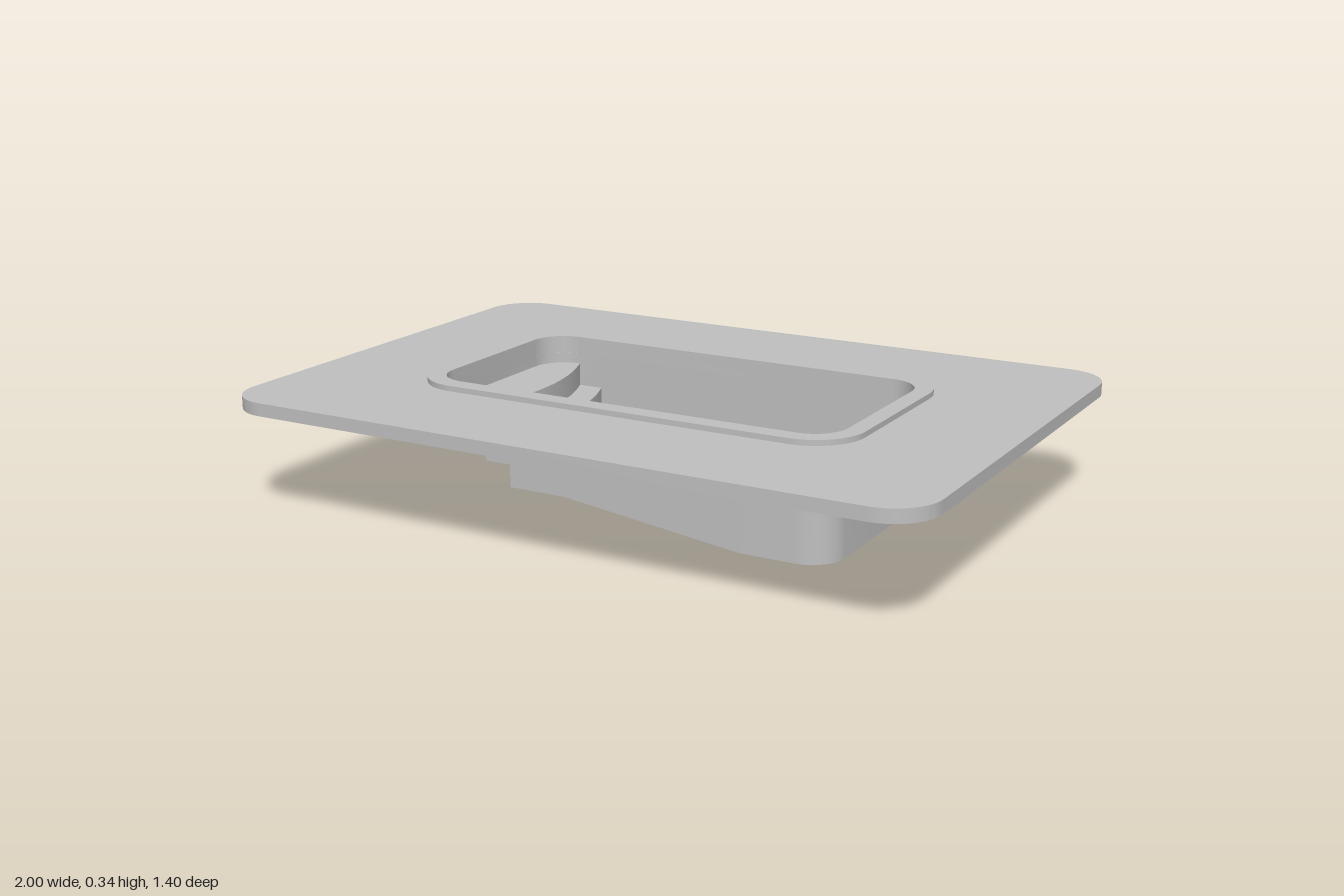
import * as THREE from 'three';
import { toCreasedNormals } from 'three/addons/utils/BufferGeometryUtils.js';

const HALF_X = 0.6, HALF_Z = 0.3, CORNER = 0.095; // pool opening
const DECK_BOTTOM = 0.292, DECK_TOP = 0.328, COPING_TOP = 0.343;

// Rounded rectangle outline centred on the origin
function roundedRect(path, hx, hz, r) {
  path.moveTo(hx, -hz + r);
  path.absarc(hx - r, hz - r, r, 0, Math.PI / 2);
  path.absarc(-hx + r, hz - r, r, Math.PI / 2, Math.PI);
  path.absarc(-hx + r, -hz + r, r, Math.PI, Math.PI * 1.5);
  path.absarc(hx - r, -hz + r, r, Math.PI * 1.5, Math.PI * 2);
  return path;
}

// Flat slab with the pool opening cut through it
function frame(name, hx, hz, r, y0, y1, material) {
  const shape = roundedRect(new THREE.Shape(), hx, hz, r);
  shape.holes.push(roundedRect(new THREE.Path(), HALF_X, HALF_Z, CORNER));
  const geo = new THREE.ExtrudeGeometry(shape, { depth: y1 - y0, bevelEnabled: false, curveSegments: 10 });
  geo.rotateX(-Math.PI / 2).translate(0, y0, 0);
  const mesh = new THREE.Mesh(toCreasedNormals(geo, 0.4), material);
  mesh.name = name;
  return mesh;
}

// Surface through rows of points with equal counts
function loft(name, rows, crease, material) {
  const n = rows[0].length, index = [];
  for (let i = 0; i < rows.length - 1; i++) {
    for (let j = 0; j < n - 1; j++) {
      const a = i * n + j, b = a + 1, c = a + n, d = c + 1;
      index.push(a, b, c, b, d, c);
    }
  }
  const geo = new THREE.BufferGeometry();
  geo.setAttribute('position', new THREE.Float32BufferAttribute(rows.flat(2), 3));
  geo.setIndex(index);
  const mesh = new THREE.Mesh(toCreasedNormals(geo, crease), material);
  mesh.name = name;
  return mesh;
}

export function createModel() {
  const group = new THREE.Group();
  group.name = 'swimmingPool';
  const grey = new THREE.MeshStandardMaterial({ color: 0xc0c0c0 });
  grey.name = 'light grey';
  grey.side = THREE.DoubleSide;

  group.add(frame('deck', 1, 0.7, 0.13, DECK_BOTTOM, DECK_TOP, grey));
  group.add(frame('coping', 0.65, 0.354, 0.145, DECK_TOP, COPING_TOP, grey));

  // Floor stations from the shallow end to the deep end
  const columns = [];
  const add = (x, y, w = HALF_Z, bulge = 0) => columns.push({ x, y, w, bulge });
  const ARC = 8;
  const corner = (side, k, y) => {
    const a = (k / ARC) * Math.PI / 2;
    add(side * (HALF_X - CORNER + CORNER * Math.cos(a)), y, HALF_Z - CORNER + CORNER * Math.sin(a));
  };
  for (let k = 0; k <= ARC; k++) corner(-1, k, 0.262);
  // Bowed steps: top and bottom of each riser
  [[-0.505, 0.262, 0.196], [-0.43, 0.196, 0.13], [-0.352, 0.13, 0.066]].forEach(([x, top, bottom]) => {
    add(x, top, HALF_Z, 0.066);
    add(x, bottom, HALF_Z, 0.066);
  });
  // Shallow floor, slope and deep floor
  add(-0.18, 0.066);
  add(0.35, 0);
  for (let k = ARC; k >= 0; k--) corner(1, k, 0);

  const ACROSS = 20;
  const floorRows = columns.map(({ x, y, w, bulge }) =>
    Array.from({ length: ACROSS + 1 }, (_, j) => {
      const t = (j / ACROSS) * 2 - 1;
      return [x + bulge * (1 - t * t), y, w * t];
    }));
  group.add(loft('floorAndSteps', floorRows, 0.1, grey));

  // Walls rise from the edge of the floor to the deck
  const near = floorRows.map(r => r[ACROSS]);
  const far = floorRows.map(r => r[0]).reverse();
  const lower = [...near, ...far, near[0]];
  const upper = lower.map(([x, , z]) => [x, DECK_BOTTOM, z]);
  group.add(loft('basinWalls', [lower, upper], 0.4, grey));

  return group;
}
